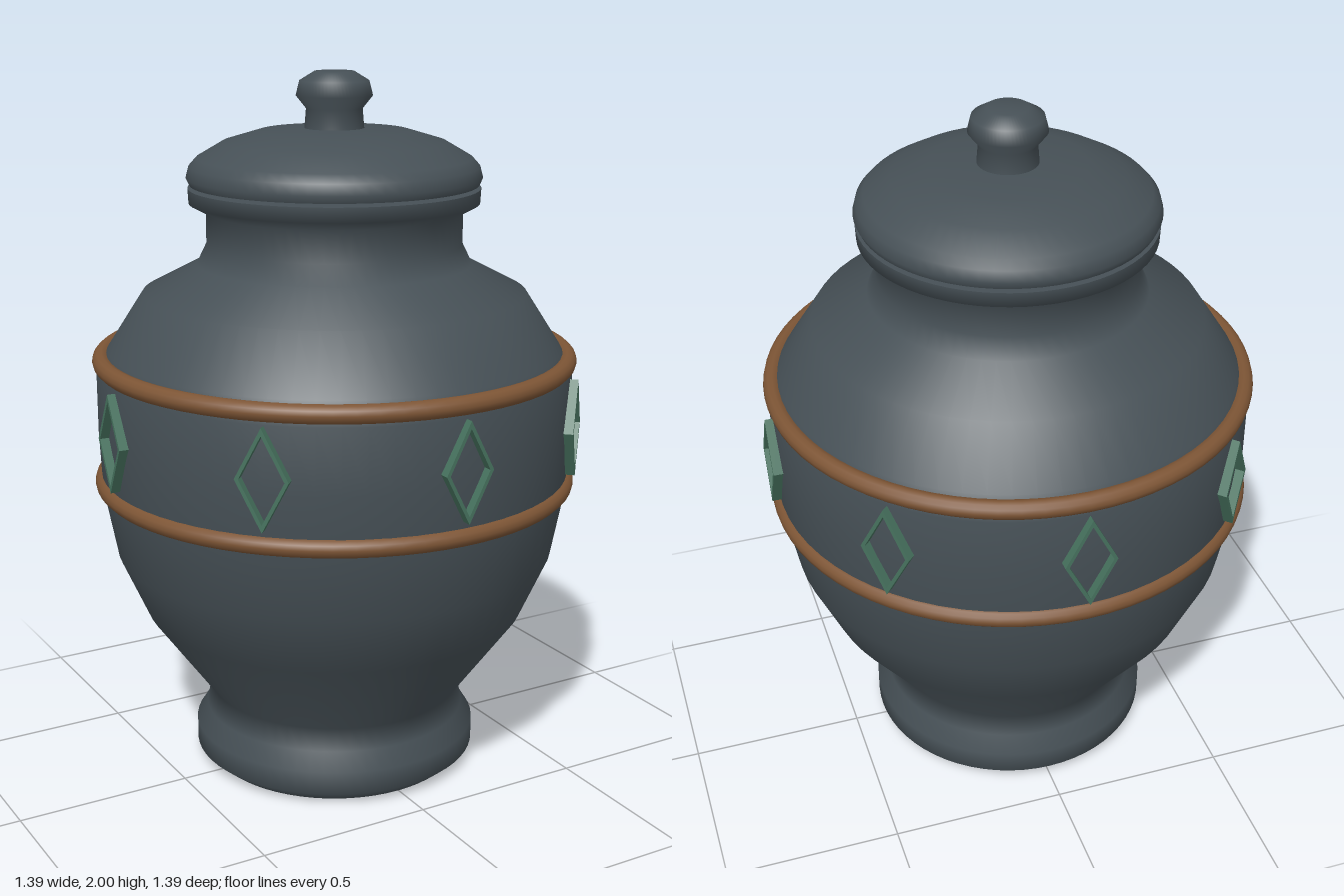
import * as THREE from 'three';

const mat = (name, color, side = THREE.FrontSide) => {
  const m = new THREE.MeshStandardMaterial({ color, side });
  m.name = name;
  return m;
};

export function createModel() {
  const urn = new THREE.Group();
  urn.name = 'lidded urn';
  const slate = mat('slate glaze', 0x465056, THREE.DoubleSide);
  const bronze = mat('bronze', 0x7d5535);
  const jade = mat('jade green', 0x47735f);

  const add = (name, geometry, material, y = 0) => {
    const mesh = new THREE.Mesh(geometry, material);
    mesh.name = name;
    mesh.position.y = y;
    urn.add(mesh);
    return mesh;
  };
  // Smooth turned surface, profile listed from bottom to top as [radius, height]
  const turned = (name, profile) =>
    add(name, new THREE.LatheGeometry(profile.map(([r, y]) => new THREE.Vector2(r, y)), 64), slate);
  // Flat disc with its own sharp rim
  const disc = (name, radius, y, up) => {
    const g = new THREE.CircleGeometry(radius, 64);
    g.rotateX(up ? -Math.PI / 2 : Math.PI / 2);
    add(name, g, slate, y);
  };

  // Vessel: foot, belly, shoulder, neck and rim
  turned('body', [
    [0.37, 0], [0.412, 0.035], [0.412, 0.1], [0.38, 0.15], [0.368, 0.215],
    [0.55, 0.465], [0.63, 0.645], [0.667, 0.84], [0.674, 1.0], [0.674, 1.18],
    [0.64, 1.24], [0.54, 1.395], [0.385, 1.475], [0.358, 1.53], [0.358, 1.62],
    [0.405, 1.645], [0.407, 1.686],
  ]);
  disc('foot underside', 0.37, 0, false);
  disc('mouth', 0.407, 1.686, true);

  // Lid with a narrow gap above the rim
  turned('lid', [
    [0.402, 1.695], [0.411, 1.715], [0.403, 1.745], [0.382, 1.768],
    [0.31, 1.81], [0.21, 1.84], [0.08, 1.847], [0, 1.847],
  ]);
  disc('lid underside', 0.402, 1.695, false);

  // Knob
  turned('knob', [
    [0.083, 1.84], [0.078, 1.9], [0.106, 1.935], [0.096, 1.975], [0.055, 2.0], [0, 2.0],
  ]);

  // Bronze rings framing the decorated band
  for (const [name, radius, y] of [['upperRing', 0.659, 1.21], ['lowerRing', 0.662, 0.859]]) {
    const ring = new THREE.TorusGeometry(radius, 0.026, 12, 72);
    ring.rotateX(Math.PI / 2);
    add(name, ring, bronze, y);
  }

  // Eight open diamond frames around the belly
  const diamond = (w, h) => [[w, 0], [0, h], [-w, 0], [0, -h]].map(([x, y]) => new THREE.Vector2(x, y));
  const outline = new THREE.Shape(diamond(0.072, 0.138));
  outline.holes.push(new THREE.Path(diamond(0.061, 0.117).reverse()));
  const frame = new THREE.ExtrudeGeometry(outline, { depth: 0.037, bevelEnabled: false });
  frame.translate(0, 0, 0.66);
  for (let i = 0; i < 8; i++) {
    add('diamondFrame', frame, jade, 1.04).rotation.y = (i * Math.PI) / 4;
  }
  return urn;
}
